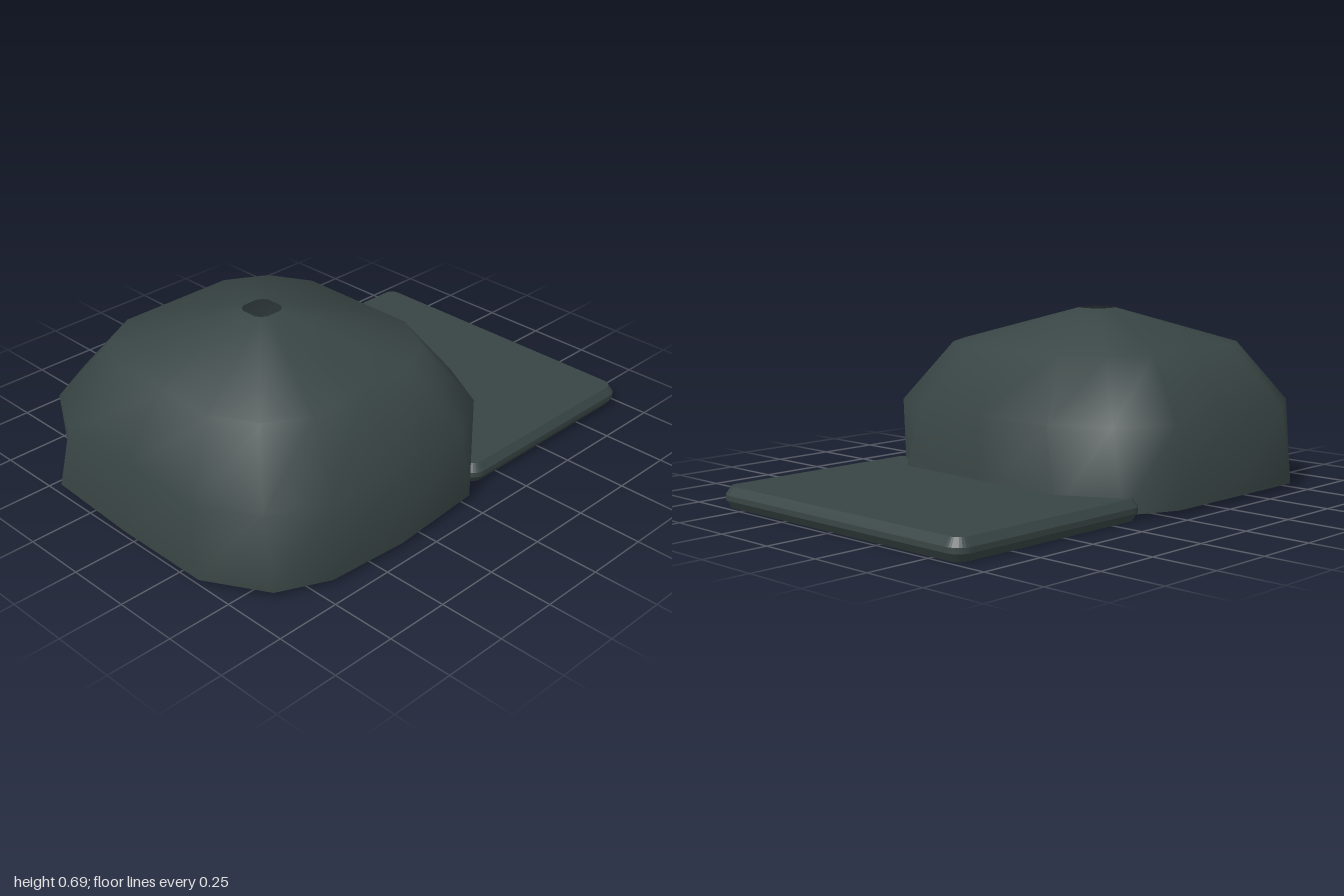
import * as THREE from 'three';

const CENTER_Z = 0.36;

// Rounded-square ring: four quarter turns of a side midpoint and a three-point corner
function ring(y, hx, hz, cx = 0) {
  const quarter = [[1, 0], [1, 0.5], [0.82, 0.82], [0.5, 1]];
  const points = [];
  for (let q = 0; q < 4; q++) {
    for (const [u, v] of quarter) {
      let a = u, b = v;
      for (let k = 0; k < q; k++) [a, b] = [-b, a];
      points.push([cx + a * hx, y, CENTER_Z + b * hz]);
    }
  }
  return points;
}

// Smooth open shell lofted through rings of equal length
function loft(rings) {
  const n = rings[0].length;
  const index = [];
  for (let r = 0; r < rings.length - 1; r++) {
    for (let i = 0; i < n; i++) {
      const a = r * n + i, b = r * n + (i + 1) % n;
      index.push(a, a + n, b, b, a + n, b + n);
    }
  }
  const geometry = new THREE.BufferGeometry();
  geometry.setAttribute('position', new THREE.Float32BufferAttribute(rings.flat(2), 3));
  geometry.setIndex(index);
  geometry.computeVertexNormals();
  return geometry;
}

// Rectangle with rounded corners
function roundedRect(x0, y0, x1, y1, r) {
  const s = new THREE.Shape();
  s.absarc(x1 - r, y0 + r, r, -Math.PI / 2, 0);
  s.absarc(x1 - r, y1 - r, r, 0, Math.PI / 2);
  s.absarc(x0 + r, y1 - r, r, Math.PI / 2, Math.PI);
  s.absarc(x0 + r, y0 + r, r, Math.PI, Math.PI * 1.5);
  s.closePath();
  return s;
}

export function createModel() {
  const group = new THREE.Group();
  group.name = 'cap';
  const cloth = new THREE.MeshStandardMaterial({ color: 0x384544, side: THREE.DoubleSide });
  cloth.name = 'dark green cloth';

  // Crown: uneven bottom edge, rounded shoulders, small open hole on top
  const edge = [
    [0.69, 0.36], [0.67, 0.68], [0.58, 0.87], [0.35, 1],
    [-0.05, 1], [-0.45, 0.98], [-0.57, 0.85], [-0.69, 0.72],
    [-0.69, 0.36], [-0.69, 0.03], [-0.6, -0.17], [-0.39, -0.29],
    [0, -0.28], [0.44, -0.26], [0.55, -0.15], [0.66, -0.03],
  ].map(([x, z]) => [x, 0.02, z]);
  const crown = new THREE.Mesh(loft([
    edge,
    ring(0.32, 0.67, 0.64),
    ring(0.55, 0.49, 0.475),
    ring(0.685, 0.062, 0.062, -0.01),
  ]), cloth);
  crown.name = 'crown';
  group.add(crown);

  // Brim: flat plate with a bevelled rim
  const brimGeometry = new THREE.ExtrudeGeometry(roundedRect(-0.62, 0.12, 0.6, 0.98, 0.04), {
    depth: 0.02, bevelThickness: 0.03, bevelSize: 0.02, bevelSegments: 1, curveSegments: 4,
  });
  brimGeometry.rotateX(-Math.PI / 2);
  brimGeometry.translate(0, 0.03, 0);
  const brim = new THREE.Mesh(brimGeometry, cloth);
  brim.name = 'brim';
  group.add(brim);

  return group;
}
